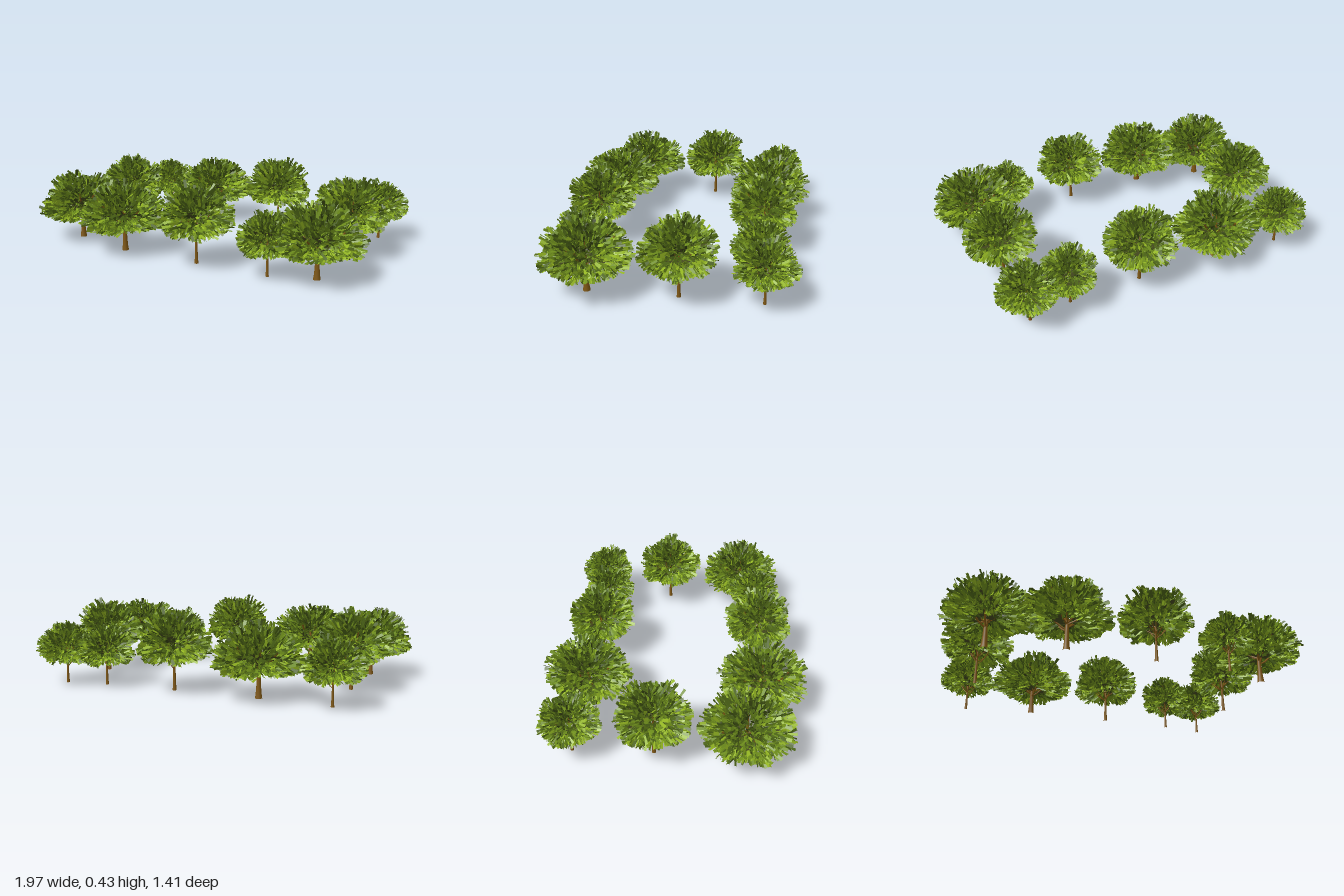
import * as THREE from 'three';
import { mergeGeometries } from 'three/addons/utils/BufferGeometryUtils.js';

// Seeded random numbers
function seeded(seed) {
  let s = seed;
  return () => {
    s = (s * 16807) % 2147483647;
    return s / 2147483647;
  };
}

const leafMaterials = [0x93b522, 0x6f8f1c, 0x4c6416, 0x34420f].map(color =>
  new THREE.MeshStandardMaterial({ color, side: THREE.DoubleSide, flatShading: true }));
const undersideMaterial = new THREE.MeshStandardMaterial({ color: 0x45491f, side: THREE.DoubleSide, flatShading: true });
const barkMaterial = new THREE.MeshStandardMaterial({ color: 0x7d5614 });

// Flat strip running from a base point along a direction
function addBlade(out, base, dir, side, length, width) {
  const tip = base.clone().addScaledVector(dir, length);
  const corner = (p, w) => p.clone().addScaledVector(side, w * width);
  const a = corner(base, -0.35), b = corner(base, 0.35), c = corner(tip, 0.5), d = corner(tip, -0.5);
  for (const p of [a, b, c, a, c, d]) out.push(p.x, p.y, p.z);
}

function bladeGeometry(positions) {
  const geometry = new THREE.BufferGeometry();
  geometry.setAttribute('position', new THREE.Float32BufferAttribute(positions, 3));
  geometry.computeVertexNormals();
  return geometry;
}

// Tufts of leaves pointing out of a flat-bottomed dome
function crownGeometries(kind, random) {
  const { centre, radius, up, down, tufts, leaves } = kind;
  const jitter = k => new THREE.Vector3(random() - 0.5, random() - 0.5, random() - 0.5).multiplyScalar(2 * k);
  const onDome = (d, f) => new THREE.Vector3(d.x * radius, d.y * (d.y > 0 ? up : down), d.z * radius).multiplyScalar(f);
  const shades = leafMaterials.map(() => []);

  for (let i = 0; i < tufts; i++) {
    const y = 1 - 1.75 * (i + 0.5) / tufts;
    const ring = Math.sqrt(1 - y * y);
    const angle = i * 2.39996;
    const tuft = new THREE.Vector3(ring * Math.cos(angle), y, ring * Math.sin(angle));
    const reach = 0.87 + 0.23 * random();
    for (let j = 0; j < leaves; j++) {
      const d = tuft.clone().add(jitter(0.2)).normalize();
      const depth = 1 - 0.5 * random() ** 1.6;
      const tip = onDome(d, reach * depth);
      const dir = tip.clone().normalize().add(jitter(0.35)).normalize();
      const side = jitter(1).cross(dir).normalize();
      const length = 0.03 + 0.025 * random();
      const base = tip.addScaledVector(dir, -length);
      base.y += centre;
      const dark = 2.4 * random() + (1 - depth) * 2 + Math.max(0, y) * 0.8;
      addBlade(shades[Math.min(3, Math.floor(dark))], base, dir, side, length, 0.011 + 0.008 * random());
    }
  }

  // Broad dark sprays under the crown
  const sprays = [];
  for (let i = 0; i < 26; i++) {
    const a = i * 2.39996;
    const dir = new THREE.Vector3(Math.cos(a), 0.1 + 0.7 * random(), Math.sin(a)).normalize();
    const side = new THREE.Vector3(-Math.sin(a), 0.5 * (random() - 0.5), Math.cos(a)).normalize();
    const base = new THREE.Vector3(dir.x * 0.03, centre - down * (0.5 - 0.7 * random()), dir.z * 0.03);
    addBlade(sprays, base, dir, side, radius * (0.4 + 0.25 * random()), 0.055);
  }
  return { shades: shades.map(bladeGeometry), sprays: bladeGeometry(sprays) };
}

// Flared trunk with limbs spreading into the crown
function woodGeometries(kind, random) {
  const { trunk: r, fork, centre, radius, up } = kind;
  const profile = [[r, 0], [r * 0.8, 0.025], [r * 0.66, fork * 0.6], [r * 0.58, fork], [r * 0.4, centre], [r * 0.15, centre + up * 0.5]];
  const trunk = new THREE.LatheGeometry(profile.map(p => new THREE.Vector2(...p)), 10);
  const limbs = [];
  for (let i = 0; i < 9; i++) {
    const a = i * 2.39996;
    const start = fork + 0.05 * random();
    const spread = radius * (0.5 + 0.2 * random());
    const rise = up * (0.1 + 0.45 * random());
    const point = (k, h) => new THREE.Vector3(Math.cos(a) * spread * k, h, Math.sin(a) * spread * k);
    const curve = new THREE.QuadraticBezierCurve3(point(0, start), point(0.4, start + 0.02), point(1, centre + rise));
    limbs.push(new THREE.TubeGeometry(curve, 5, r * 0.25, 5));
  }
  return { trunk, limbs: mergeGeometries(limbs) };
}

const kinds = {
  round: { centre: 0.23, radius: 0.192, up: 0.208, down: 0.115, tufts: 75, leaves: 32, trunk: 0.011, fork: 0.11, seed: 71 },
  broad: { centre: 0.178, radius: 0.232, up: 0.205, down: 0.075, tufts: 90, leaves: 32, trunk: 0.019, fork: 0.1, seed: 913 },
};

// Kind, x, z, scale, turn
const layout = [
  ['round', -0.745, -0.505, 0.8, 0.4],
  ['broad', -0.36, -0.465, 1, 2.9],
  ['round', 0.11, -0.46, 1, 1.2],
  ['round', 0.515, -0.47, 0.78, 2.2],
  ['round', 0.745, -0.505, 0.8, 3.6],
  ['round', -0.74, -0.09, 1, 0],
  ['round', 0.74, -0.09, 1, 0.9],
  ['broad', -0.75, 0.37, 1, 1.5],
  ['broad', -0.36, 0.46, 1, 0],
  ['round', 0.11, 0.46, 1, 4.4],
  ['round', 0.52, 0.455, 0.78, 5.1],
  ['broad', 0.745, 0.37, 1, 4.2],
];

export function createModel() {
  const model = new THREE.Group();
  model.name = 'treeGrove';

  const parts = {};
  for (const [name, kind] of Object.entries(kinds)) {
    const random = seeded(kind.seed);
    parts[name] = { ...crownGeometries(kind, random), ...woodGeometries(kind, random) };
  }

  layout.forEach(([kind, x, z, scale, turn], i) => {
    const tree = new THREE.Group();
    tree.name = `${kind}Tree${i + 1}`;
    const add = (name, geometry, material) => {
      const mesh = new THREE.Mesh(geometry, material);
      mesh.name = name;
      tree.add(mesh);
    };
    const p = parts[kind];
    add('trunk', p.trunk, barkMaterial);
    add('limbs', p.limbs, barkMaterial);
    add('crownUnderside', p.sprays, undersideMaterial);
    p.shades.forEach((geometry, s) => add(`leaves${s + 1}`, geometry, leafMaterials[s]));
    tree.position.set(x, 0, z);
    tree.rotation.y = turn;
    tree.scale.setScalar(scale);
    model.add(tree);
  });
  return model;
}
